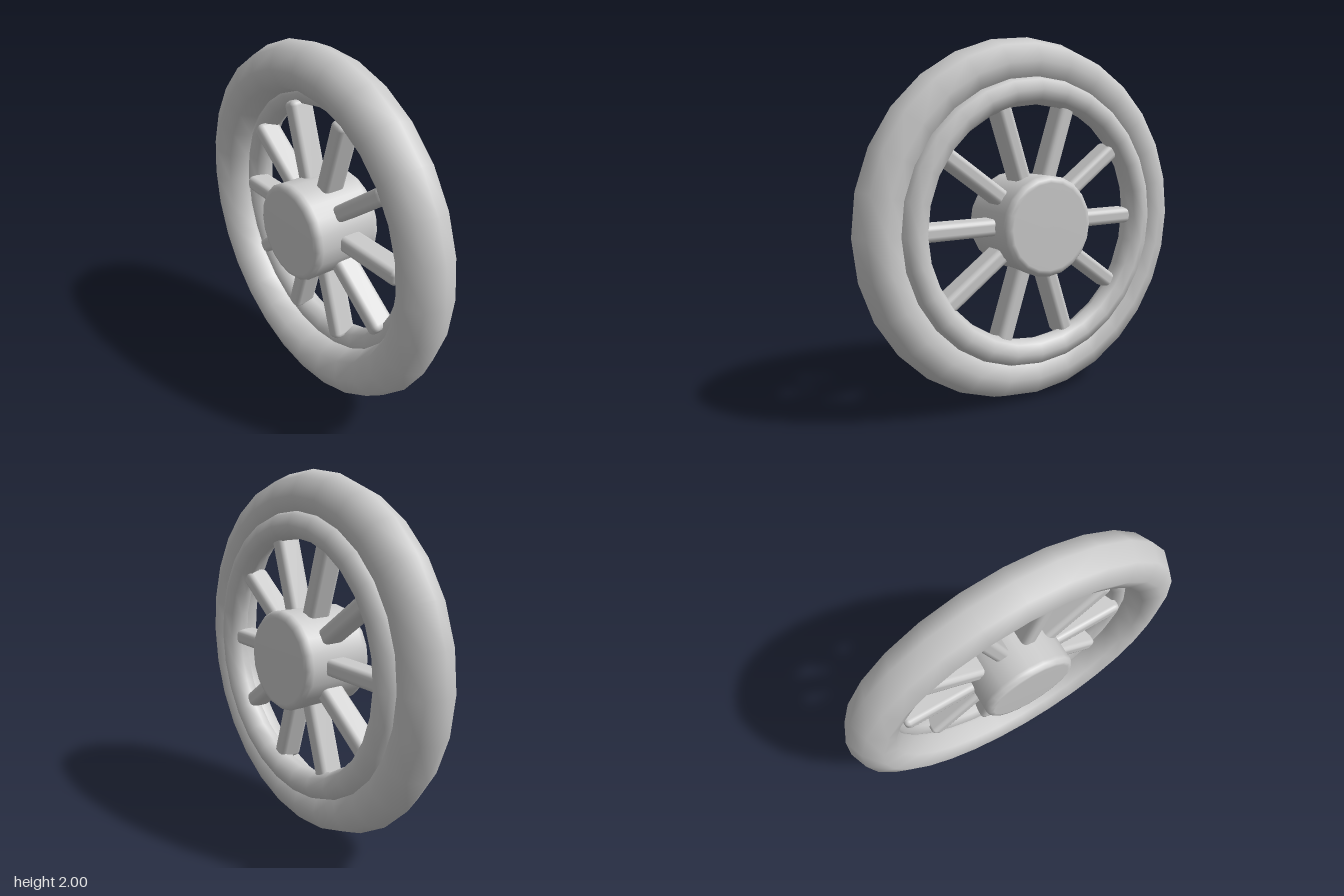
import * as THREE from 'three';
import { RoundedBoxGeometry } from 'three/addons/geometries/RoundedBoxGeometry.js';

const material = new THREE.MeshStandardMaterial({ color: 0xcccccc });

function addMesh(parent, name, geometry) {
  const mesh = new THREE.Mesh(geometry, material);
  mesh.name = name;
  parent.add(mesh);
  return mesh;
}

// Ring around the x axis; axial is its half thickness along x
function ring(radius, tube, axial, x) {
  return new THREE.TorusGeometry(radius, tube, 8, 28)
    .scale(1, 1, axial / tube)
    .rotateY(Math.PI / 2)
    .translate(x, 0, 0);
}

export function createModel() {
  const model = new THREE.Group();
  model.name = 'spokedWheel';

  const wheel = new THREE.Group();
  wheel.name = 'wheel';
  wheel.position.y = 1;
  model.add(wheel);

  // Fat tyre, with the slimmer rim set towards +x
  addMesh(wheel, 'tyre', ring(0.867, 0.133, 0.14, -0.025));
  addMesh(wheel, 'rim', ring(0.72, 0.077, 0.079, 0.061));

  // Hub drum with softened edges
  const profile = [
    [0, -0.208], [0.235, -0.208], [0.255, -0.205], [0.272, -0.185],
    [0.272, -0.165], [0.272, 0.165], [0.272, 0.185], [0.255, 0.205],
    [0.235, 0.208], [0, 0.208],
  ].map(([r, x]) => new THREE.Vector2(r, x));
  addMesh(wheel, 'hub', new THREE.LatheGeometry(profile, 20).rotateZ(-Math.PI / 2));

  // Ten flat rounded spokes from hub to rim
  const spokes = new THREE.Group();
  spokes.name = 'spokes';
  wheel.add(spokes);
  const inner = 0.2, outer = 0.685;
  const spokeGeometry = new RoundedBoxGeometry(0.14, 0.09, outer - inner, 2, 0.03)
    .translate(0.015, 0, (inner + outer) / 2);
  for (let i = 0; i < 10; i++) {
    addMesh(spokes, 'spoke', spokeGeometry).rotation.x = (i * Math.PI) / 5;
  }

  return model;
}
